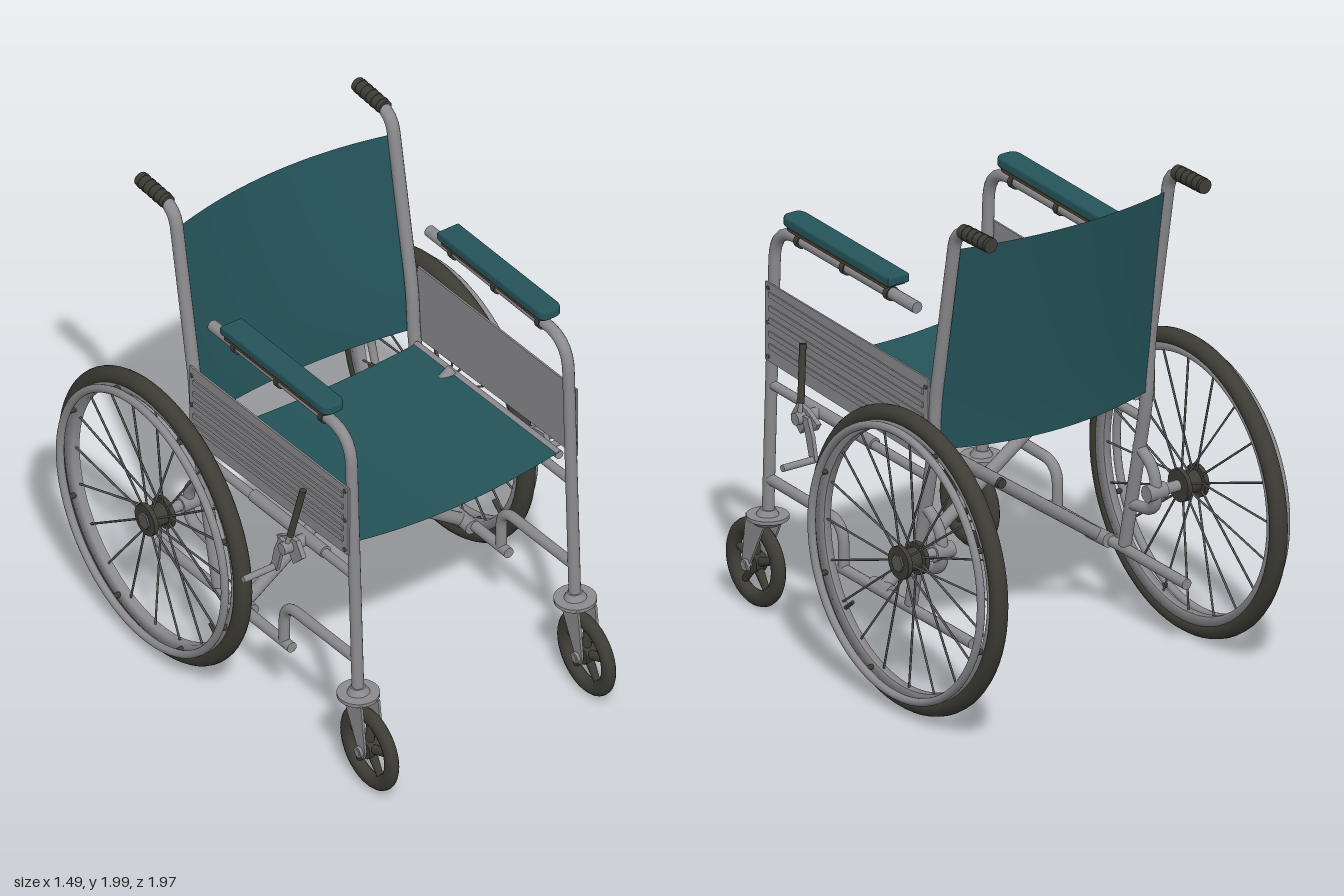
import * as THREE from 'three';

const mat = (name, color, side = THREE.FrontSide) => {
  const m = new THREE.MeshStandardMaterial({ color, side });
  m.name = name;
  return m;
};

export function createModel() {
  const steel = mat('steel', 0x8b8b8f);
  const rubber = mat('rubber', 0x3d3c35);
  const spokeMetal = mat('spokeMetal', 0x58585a);
  const fabric = mat('tealFabric', 0x24545a, THREE.DoubleSide);
  const wood = mat('padBase', 0x54402f);

  const model = new THREE.Group();
  model.name = 'wheelchair';
  const V = (x, y, z) => new THREE.Vector3(x, y, z);

  const add = (parent, name, geo, material) => {
    const m = new THREE.Mesh(geo, material);
    m.name = name;
    parent.add(m);
    return m;
  };

  // Straight round bar between two points
  const rod = (parent, name, a, b, r, material = steel, sides = 16, r2 = r) => {
    const d = b.clone().sub(a);
    const m = add(parent, name, new THREE.CylinderGeometry(r2, r, d.length(), sides), material);
    m.position.copy(a).addScaledVector(d, 0.5);
    m.quaternion.setFromUnitVectors(V(0, 1, 0), d.normalize());
    return m;
  };

  // Bent pipe with rounded corners and closed ends; points are [z, y] at a fixed x
  const pipe = (parent, name, x, pts, r, bend = 0.1, material = steel) => {
    const p = pts.map(([z, y]) => V(x, y, z));
    const path = new THREE.CurvePath();
    let last = p[0];
    for (let i = 1; i < p.length - 1; i++) {
      const toPrev = p[i - 1].clone().sub(p[i]), toNext = p[i + 1].clone().sub(p[i]);
      const k = Math.min(bend, toPrev.length() * 0.48, toNext.length() * 0.48);
      const a = p[i].clone().addScaledVector(toPrev.normalize(), k);
      const b = p[i].clone().addScaledVector(toNext.normalize(), k);
      path.add(new THREE.LineCurve3(last, a));
      path.add(new THREE.QuadraticBezierCurve3(a, p[i], b));
      last = b;
    }
    path.add(new THREE.LineCurve3(last, p[p.length - 1]));
    add(parent, name, new THREE.TubeGeometry(path, 64, r, 14), material);
    for (const t of [0, 1]) {
      const end = path.getPoint(t), dir = path.getTangent(t).multiplyScalar(t ? 1 : -1);
      const cap = add(parent, name + 'End', new THREE.CircleGeometry(r, 14), material);
      cap.position.copy(end);
      cap.lookAt(end.clone().add(dir));
    }
  };

  // Flat plate drawn in [z, y], centred on x
  const plate = (parent, name, x, pts, depth, material) => {
    const shape = new THREE.Shape(pts.map(([z, y]) => new THREE.Vector2(z, y)));
    const geo = new THREE.ExtrudeGeometry(shape, { depth, bevelEnabled: false });
    geo.translate(0, 0, -depth / 2).rotateY(-Math.PI / 2).translate(x, 0, 0);
    return add(parent, name, geo, material);
  };

  // Curved cloth; rule maps u in -1..1 and v in 0..1 to a point
  const cloth = (name, rule) => {
    const geo = new THREE.PlaneGeometry(2, 1, 24, 12);
    const pos = geo.attributes.position;
    for (let i = 0; i < pos.count; i++) pos.setXYZ(i, ...rule(pos.getX(i), pos.getY(i) + 0.5));
    geo.computeVertexNormals();
    add(model, name, geo, fabric);
  };
  cloth('seat', (u, v) => [u * 0.49, 1.0 + 0.07 * (1 - v) - (0.025 + 0.025 * (1 - v)) * (1 - u * u), 0.66 - 0.935 * v]);
  cloth('backrest', (u, v) => [u * 0.495, 1.0 + 0.88 * v + 0.02 * u * u * (1 - v),
    -0.335 - 0.125 * v ** 1.2 - 0.07 * (1 - u * u)]);

  // Large wheel, axle along x, s is the outward direction
  const driveWheel = (s) => {
    const g = new THREE.Group();
    g.name = 'driveWheel';
    g.position.set(s * 0.66, 0.62, -0.377);
    const tyre = add(g, 'tyre', new THREE.TorusGeometry(0.574, 0.036, 16, 72), rubber);
    tyre.rotation.y = Math.PI / 2;
    const section = [[0.52, -0.016], [0.555, -0.03], [0.555, 0.03], [0.52, 0.016], [0.52, -0.016]];
    const rim = add(g, 'rim', new THREE.LatheGeometry(section.map(([r, h]) => new THREE.Vector2(r, h)), 72), steel);
    rim.rotation.z = Math.PI / 2;
    const hand = add(g, 'handRim', new THREE.TorusGeometry(0.541, 0.016, 12, 72), steel);
    hand.rotation.y = Math.PI / 2;
    hand.position.x = s * 0.06;
    const polar = (x, r, a) => V(s * x, r * Math.cos(a), r * Math.sin(a));
    for (let i = 0; i < 8; i++) {
      const a = (i + 0.5) * Math.PI / 4;
      rod(g, 'handRimMount', polar(0.02, 0.54, a), polar(0.055, 0.54, a), 0.011, rubber, 8);
    }
    for (let i = 0; i < 20; i++) {
      const a = i * Math.PI / 10;
      rod(g, 'spoke', polar(i % 2 ? 0.03 : -0.03, 0.05, a + 0.08), polar(0, 0.525, a), 0.0045, spokeMetal, 6);
    }
    rod(g, 'valve', polar(0, 0.46, 2.25), polar(0, 0.525, 2.25), 0.008, rubber, 8);
    rod(g, 'hub', V(-s * 0.045, 0, 0), V(s * 0.045, 0, 0), 0.045, rubber, 24);
    for (const x of [-0.04, 0.04]) rod(g, 'hubFlange', V(s * (x - 0.01), 0, 0), V(s * (x + 0.01), 0, 0), 0.066, rubber, 24);
    rod(g, 'hubCap', V(s * 0.045, 0, 0), V(s * 0.058, 0, 0), 0.036, spokeMetal, 6);
    rod(g, 'axle', V(-s * 0.19, 0, 0), V(-s * 0.04, 0, 0), 0.022);
    rod(g, 'axleCollar', V(-s * 0.2, 0, 0), V(-s * 0.115, 0, 0), 0.033);
    model.add(g);
  };

  // Small swivelling front wheel with its fork
  const caster = (s) => {
    const g = new THREE.Group();
    g.name = 'caster';
    g.position.set(s * 0.505, 0, 0);
    const wheel = new THREE.Group();
    wheel.name = 'casterWheel';
    wheel.position.set(0, 0.19, 0.81);
    const tyre = add(wheel, 'casterTyre', new THREE.TorusGeometry(0.144, 0.033, 14, 40), rubber);
    tyre.rotation.y = Math.PI / 2;
    tyre.scale.z = 0.8;
    for (let i = 0; i < 5; i++) {
      const a = i * Math.PI * 0.4;
      const arm = rod(wheel, 'casterSpoke', V(0, 0, 0), V(0, 0.125 * Math.cos(a), 0.125 * Math.sin(a)), 0.022, rubber, 8, 0.013);
      arm.name = 'casterSpoke';
    }
    rod(wheel, 'casterHub', V(-0.026, 0, 0), V(0.026, 0, 0), 0.04, rubber, 20);
    rod(wheel, 'casterAxle', V(-0.06, 0, 0), V(0.06, 0, 0), 0.014, steel, 8);
    for (const x of [-0.05, 0.05]) rod(wheel, 'axleNut', V(x - 0.008, 0, 0), V(x + 0.008, 0, 0), 0.024, steel, 6);
    g.add(wheel);
    for (const x of [-0.04, 0.04])
      plate(g, 'forkBlade', x, [[0.66, 0.41], [0.81, 0.4], [0.835, 0.2], [0.825, 0.165], [0.795, 0.165], [0.785, 0.2], [0.7, 0.37]]
        .map(([z, y]) => [z + 0.005, y]), 0.01, steel);
    rod(g, 'forkCrown', V(0, 0.375, 0.735), V(0, 0.395, 0.735), 0.055, steel, 24, 0.078);
    rod(g, 'forkRim', V(0, 0.395, 0.735), V(0, 0.41, 0.735), 0.083, steel, 24);
    rod(g, 'swivelBearing', V(0, 0.41, 0.735), V(0, 0.435, 0.733), 0.045, steel, 20, 0.03);
    model.add(g);
  };

  // Frame, armrest, panel and brake of one side
  const sideFrame = (s) => {
    const g = new THREE.Group();
    g.name = 'sideFrame';
    const X = s * 0.505;
    pipe(g, 'frontPostAndArm', X, [[0.733, 0.41], [0.685, 1.61], [-0.22, 1.565]], 0.024, 0.14);
    pipe(g, 'rearPost', X, [[-0.18, 0.34], [-0.32, 0.98], [-0.335, 1.22], [-0.47, 1.97], [-0.68, 1.97]], 0.026, 0.08);
    rod(g, 'handGrip', V(X, 1.972, -0.51), V(X, 1.972, -0.692), 0.03, rubber);
    for (let i = 0; i < 5; i++) rod(g, 'gripRidge', V(X, 1.972, -0.53 - i * 0.034), V(X, 1.972, -0.542 - i * 0.034), 0.032, rubber);
    pipe(g, 'middleRail', X, [[0.7, 0.95], [-0.3, 0.895]], 0.019);
    rod(g, 'railSleeve', V(X, 0.944, 0.52), V(X, 0.919, 0.05), 0.025);
    pipe(g, 'frontStay', X, [[0.73, 0.56], [0.25, 0.53], [0.25, 0.345]], 0.022, 0.1);
    pipe(g, 'bottomRail', X, [[0.3, 0.345], [-0.575, 0.305]], 0.022);
    pipe(g, 'seatRail', s * 0.485, [[0.66, 1.055], [-0.28, 0.985]], 0.018);
    pipe(g, 'axleBracket', X, [[-0.26, 0.78], [-0.37, 0.71], [-0.39, 0.54], [-0.22, 0.52]], 0.023, 0.09);

    // Pressed side panel with ribs and rivets
    const slope = 0.08;
    const lineY = (y, z) => y - slope * (0.71 - z);
    plate(g, 'sidePanel', s * 0.531, [[0.71, 1.06], [0.71, 1.38], [-0.33, 1.315], [-0.33, 0.975]], 0.008, steel);
    for (const y of [1.115, 1.165, 1.22, 1.27, 1.325])
      plate(g, 'panelRib', s * 0.537, [[0.68, lineY(y, 0.68)], [0.68, lineY(y + 0.022, 0.68)],
        [-0.3, lineY(y + 0.022, -0.3)], [-0.3, lineY(y, -0.3)]], 0.008, steel);
    for (const z of [0.69, -0.315]) for (const y of [1.08, 1.22, 1.36])
      rod(g, 'panelRivet', V(s * 0.533, lineY(y, z), z), V(s * 0.54, lineY(y, z), z), 0.009, spokeMetal, 8);

    // Padded armrest on its base, following the arm slope
    const arm = new THREE.Group();
    arm.name = 'armrest';
    arm.position.set(X, 1.643, 0.245);
    arm.rotation.x = -0.055;
    const outline = new THREE.Shape();
    outline.moveTo(-0.05, -0.345).lineTo(0.05, -0.345).lineTo(0.05, 0.3).quadraticCurveTo(0.05, 0.345, 0.015, 0.345)
      .lineTo(-0.015, 0.345).quadraticCurveTo(-0.05, 0.345, -0.05, 0.3).lineTo(-0.05, -0.345);
    const slab = (name, h, y, scale, bevel, material) => {
      const geo = new THREE.ExtrudeGeometry(outline, bevel
        ? { depth: h, bevelSize: 0.008, bevelOffset: -0.008, bevelThickness: 0.01, bevelSegments: 3 }
        : { depth: h, bevelEnabled: false });
      geo.rotateX(-Math.PI / 2).rotateY(Math.PI).scale(scale, 1, scale).translate(0, y, 0);
      add(arm, name, geo, material);
    };
    slab('armPad', 0.022, 0.003, 1, true, fabric);
    slab('armPadBase', 0.012, -0.018, 0.94, false, wood);
    model.add(arm);
    for (const z of [0.52, 0.23, -0.05])
      rod(g, 'armClamp', V(X, 1.598 + 0.05 * (z - 0.5), z - 0.012), V(X, 1.599 + 0.05 * (z - 0.5), z + 0.012), 0.03, rubber);

    // Parking brake
    const B = s * 0.575;
    plate(g, 'brakePlate', B, [[0.48, 0.92], [0.44, 0.98], [0.38, 0.97], [0.31, 0.93], [0.33, 0.9], [0.39, 0.9], [0.42, 0.86]], 0.02, steel);
    rod(g, 'brakeClamp', V(X, 0.935, 0.4), V(s * 0.625, 0.935, 0.4), 0.025, steel);
    plate(g, 'brakeArm', s * 0.595, [[0.385, 0.95], [0.35, 0.95], [0.32, 0.88], [0.3, 0.79], [0.335, 0.78], [0.36, 0.87]], 0.016, steel);
    rod(g, 'brakeShoe', V(s * 0.58, 0.79, 0.317), V(s * 0.745, 0.79, 0.317), 0.014, steel, 12);
    rod(g, 'brakeLever', V(s * 0.6, 0.95, 0.4), V(s * 0.59, 1.0, 0.41), 0.01, steel, 10);
    rod(g, 'brakeHandle', V(s * 0.59, 0.99, 0.408), V(s * 0.555, 1.215, 0.443), 0.014, rubber, 12);
    model.add(g);

    // One bar of the folding cross
    const z = s > 0 ? 0.02 : -0.04;
    rod(model, 'crossBar', V(-s * 0.485, 1.02, z), V(s * 0.49, 0.335, z), 0.026);
    rod(model, 'crossBarFoot', V(s * 0.49, 0.335, z - 0.06), V(s * 0.49, 0.335, z + 0.06), 0.03);
  };

  for (const s of [1, -1]) {
    driveWheel(s);
    caster(s);
    sideFrame(s);
  }
  rod(model, 'crossPivot', V(0, 0.677, -0.08), V(0, 0.677, 0.06), 0.02, rubber, 12);
  return model;
}
